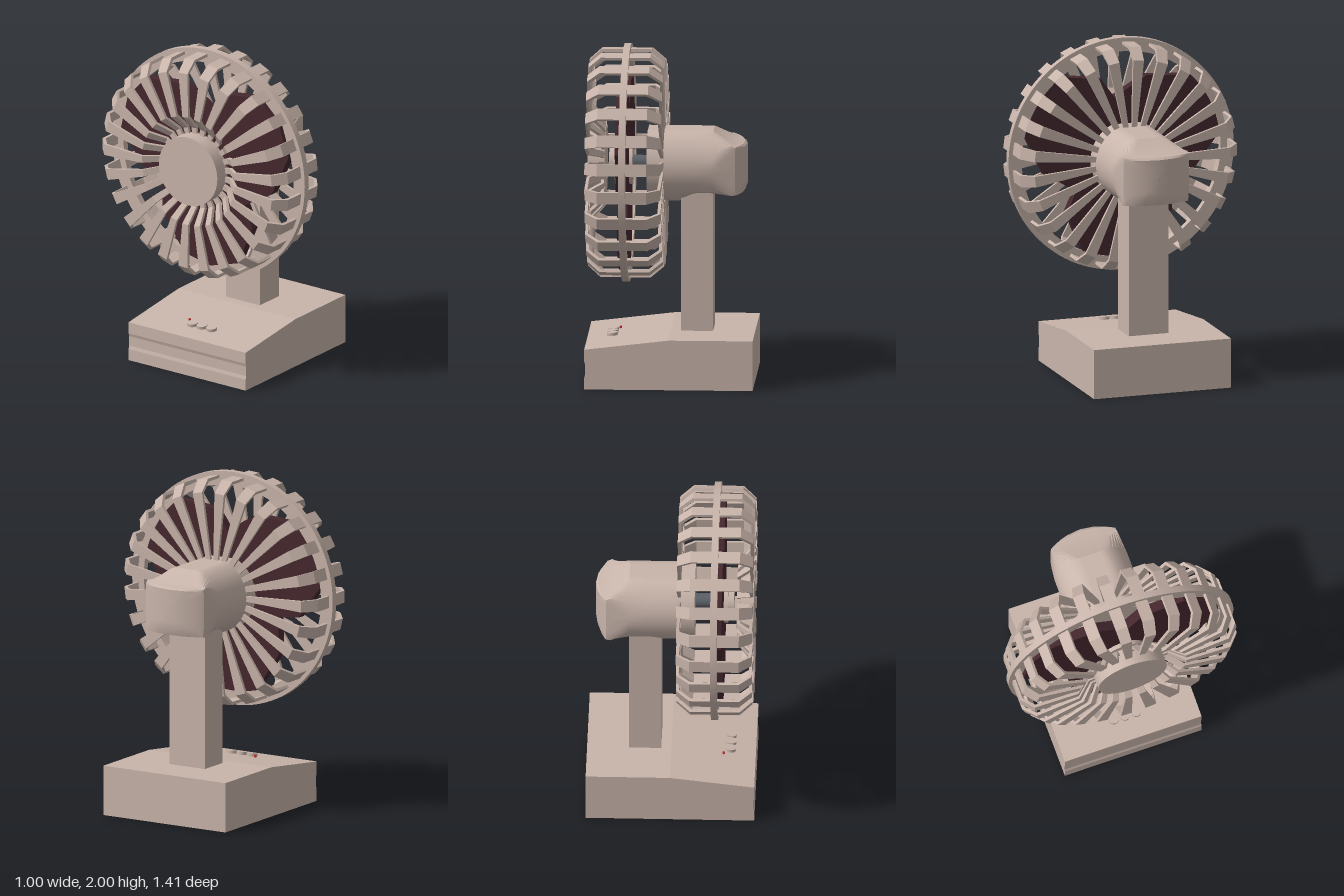
import * as THREE from 'three';
import { toCreasedNormals } from 'three/addons/utils/BufferGeometryUtils.js';

const AXIS_Y = 1.29;
const mat = (color) => new THREE.MeshStandardMaterial({ color });

export function createModel() {
  const model = new THREE.Group();
  const body = mat(0xc8b4aa), dark = mat(0x45282e), steel = mat(0x5a6066), red = mat(0xcc3333);

  const add = (name, geometry, material, parent = model) => {
    const mesh = new THREE.Mesh(geometry, material);
    mesh.name = name;
    parent.add(mesh);
    return mesh;
  };
  const shapeOf = (pts) => new THREE.Shape(pts.map(([x, y]) => new THREE.Vector2(x, y)));
  const extrude = (shape, depth, curveSegments = 48) =>
    new THREE.ExtrudeGeometry(shape, { depth, bevelEnabled: false, curveSegments });
  // Cylinder lying along x between x0 and x1
  const disc = (r, x0, x1, sides = 40) =>
    new THREE.CylinderGeometry(r, r, x1 - x0, sides).rotateZ(Math.PI / 2).translate((x0 + x1) / 2, 0, 0);

  // Base with sloping control end and a shallow groove
  const base = extrude(shapeOf([
    [-0.5, 0], [0.5, 0], [0.5, 0.3], [0, 0.3], [-0.5, 0.24],
    [-0.5, 0.17], [-0.494, 0.15], [-0.494, 0.09], [-0.5, 0.07],
  ]), 0.86);
  add('base', base.translate(0, 0, -0.43), body);

  // Control buttons and indicator on the slope
  const slope = Math.atan2(0.06, 0.5);
  const onSlope = (mesh, x, z) => {
    mesh.position.set(x, 0.3 + x * 0.12 + 0.006, z);
    mesh.rotation.z = slope;
  };
  for (const z of [-0.07, 0, 0.07])
    onSlope(add('button', new THREE.CylinderGeometry(0.032, 0.032, 0.024, 24), body), -0.35, z);
  onSlope(add('indicatorLight', new THREE.CylinderGeometry(0.007, 0.007, 0.014, 12), red), -0.31, -0.12);

  // Post
  add('post', new THREE.BoxGeometry(0.19, 0.88, 0.25).translate(0.155, 0.73, 0), body);

  // Motor housing, lofted: [x, half width, top, bottom, squareness, scale, bow]
  const sections = [
    [-0.14, 0.23, 0.21, -0.21, 2, 0.01, 0],
    [-0.14, 0.23, 0.21, -0.21, 2, 1, 0],
    [0.05, 0.23, 0.21, -0.21, 2, 1, 0],
    [0.15, 0.23, 0.21, -0.15, 2, 1, 0],
    [0.25, 0.23, 0.21, -0.15, 2, 1, 0],
    [0.36, 0.21, 0.145, -0.16, 5, 1, 0],
    [0.435, 0.205, 0.135, -0.155, 5, 1, 1.2],
    [0.45, 0.2, 0.13, -0.12, 5, 0.95, 1.5],
    [0.45, 0.2, 0.13, -0.12, 5, 0.6, 1.5],
    [0.45, 0.2, 0.13, -0.12, 5, 0.3, 1.5],
    [0.45, 0.2, 0.13, -0.12, 5, 0.01, 1.5],
  ];
  const N = 48, positions = [], index = [];
  const power = (v, n) => Math.sign(v) * Math.abs(v) ** (2 / n);
  sections.forEach(([x, w, top, bottom, n, s, bow], i) => {
    for (let j = 0; j < N; j++) {
      const t = (j / N) * Math.PI * 2;
      const y = THREE.MathUtils.clamp(0.23 * power(Math.cos(t), n), bottom, top) * s;
      const z = w * power(Math.sin(t), n) * s;
      positions.push(x - bow * z * z, y, z);
      if (i === sections.length - 1) continue;
      const a = i * N + j, b = i * N + (j + 1) % N;
      index.push(a, b, a + N, b, b + N, a + N);
    }
  });
  const housing = new THREE.BufferGeometry();
  housing.setAttribute('position', new THREE.Float32BufferAttribute(positions, 3));
  housing.setIndex(index);
  add('motorHousing', toCreasedNormals(housing, 0.5), body).position.y = AXIS_Y;

  // Cage: flat outer ring, front cap and 25 bent ribs
  const cage = new THREE.Group();
  cage.name = 'cage';
  cage.position.y = AXIS_Y;
  model.add(cage);
  const ringShape = new THREE.Shape().absarc(0, 0, 0.707, 0, Math.PI * 2);
  ringShape.holes.push(new THREE.Path().absarc(0, 0, 0.624, 0, Math.PI * 2, true));
  const ring = toCreasedNormals(extrude(ringShape, 0.04), 0.5);
  add('outerRing', ring.rotateY(Math.PI / 2).translate(-0.285, 0, 0), body, cage);
  add('frontCap', disc(0.215, -0.49, -0.39), body, cage);

  const rib = extrude(shapeOf([
    [-0.41, 0.18], [-0.41, 0.25], [-0.49, 0.34], [-0.49, 0.615], [-0.415, 0.682],
    [-0.12, 0.682], [-0.04, 0.615], [-0.04, 0.19],
    [-0.058, 0.19], [-0.058, 0.607], [-0.127, 0.664],
    [-0.408, 0.664], [-0.472, 0.607], [-0.472, 0.348], [-0.392, 0.258], [-0.392, 0.18],
  ]), 1).translate(0, 0, -0.5);
  // Ribs widen away from the axis
  const p = rib.attributes.position;
  for (let i = 0; i < p.count; i++) p.setZ(i, p.getZ(i) * (0.013 + 0.088 * p.getY(i)));
  rib.computeVertexNormals();
  for (let i = 0; i < 25; i++)
    add('rib', rib, body, cage).rotation.x = -Math.PI / 2 + (i / 25) * Math.PI * 2;

  // Rotor: three broad blades, stepped hub and shaft
  const rotor = new THREE.Group();
  rotor.name = 'rotor';
  rotor.position.y = AXIS_Y;
  model.add(rotor);
  const outline = [[-62, 0.1], [-61, 0.35], [-36, 0.49], [-10, 0.625], [8, 0.645], [27, 0.63], [50, 0.48], [60, 0.33], [60, 0.1]];
  const blade = extrude(shapeOf(outline.map(([deg, r]) => {
    const a = THREE.MathUtils.degToRad(deg);
    return [Math.sin(a) * r, Math.cos(a) * r];
  }).reverse()), 0.06).rotateY(Math.PI / 2).translate(-0.31, 0, 0);
  for (let i = 0; i < 3; i++)
    add('blade', blade, dark, rotor).rotation.x = -THREE.MathUtils.degToRad(55 + i * 120);
  add('hub', disc(0.13, -0.335, -0.23), body, rotor);
  add('hubStep', disc(0.085, -0.37, -0.33), body, rotor);
  add('shaft', disc(0.045, -0.25, -0.13, 24), steel, rotor);

  return model;
}
